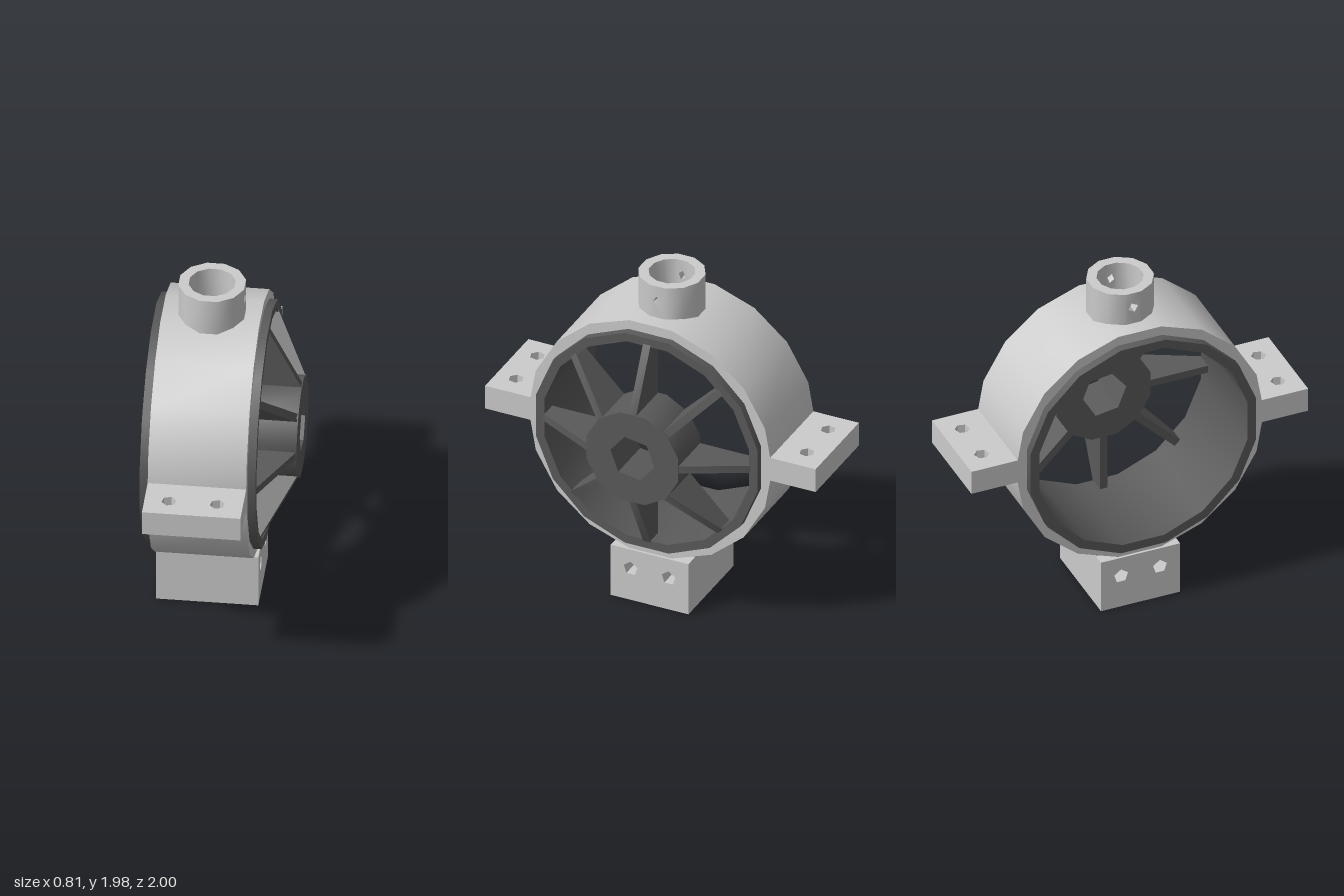
import * as THREE from 'three';
import { mergeGeometries, toCreasedNormals } from 'three/addons/utils/BufferGeometryUtils.js';

const AXIS_Y = 1.05;   // height of the ring's axis, which runs along x
const MID_X = -0.09;   // middle of the housing along x
const light = new THREE.MeshStandardMaterial({ color: 0xcccccc });
const dark = new THREE.MeshStandardMaterial({ color: 0x5a5a5a });

// Regular polygon points
function polygon(r, n, offset = 0, cx = 0, cy = 0) {
  return Array.from({ length: n }, (_, i) => {
    const a = offset + (i / n) * Math.PI * 2;
    return new THREE.Vector2(cx + r * Math.cos(a), cy + r * Math.sin(a));
  });
}

function rectangle(x0, x1, y0, y1) {
  return [[x0, y0], [x1, y0], [x1, y1], [x0, y1]].map(p => new THREE.Vector2(...p));
}

function extrude(points, holes, depth) {
  const shape = new THREE.Shape(points);
  holes.forEach(h => shape.holes.push(new THREE.Path(h)));
  return new THREE.ExtrudeGeometry(shape, { depth, bevelEnabled: false });
}

// Outline in (-z, y), swept from x0 to x1
function extrudeX(points, holes, x0, x1) {
  return extrude(points, holes, x1 - x0).rotateY(Math.PI / 2).translate(x0, 0, 0);
}

// Outline in (x, -z), swept from y0 to y1
function extrudeY(points, holes, y0, y1) {
  return extrude(points, holes, y1 - y0).rotateX(-Math.PI / 2).translate(0, y0, 0);
}

export function createModel() {
  const group = new THREE.Group();
  const add = (name, geometry, material) => {
    const mesh = new THREE.Mesh(toCreasedNormals(geometry, 0.7), material);
    mesh.name = name;
    group.add(mesh);
    return mesh;
  };

  // Outer housing ring and the dark sleeve inside it
  const step16 = Math.PI / 16;
  add('housingRing', extrudeX(
    polygon(0.738, 18, 0, 0, AXIS_Y), [polygon(0.675, 16, step16, 0, AXIS_Y)], -0.36, 0.18), light);
  add('innerSleeve', extrudeX(
    polygon(0.683, 16, step16, 0, AXIS_Y), [polygon(0.63, 16, step16, 0, AXIS_Y)], -0.41, 0.225), dark);

  // Hub with a hexagonal bore
  add('hub', extrudeX(
    polygon(0.287, 12, Math.PI / 12, 0, AXIS_Y), [polygon(0.135, 6, -0.157, 0, AXIS_Y)], 0.13, 0.405), dark);

  // Eight tapered spokes
  const spokePoints = [[0.13, 0.25], [0.4, 0.25], [0.4, 0.28], [0.222, 0.635], [0.13, 0.635]]
    .map(p => new THREE.Vector2(...p));
  for (let i = 0; i < 8; i++) {
    const spoke = extrude(spokePoints, [], 0.045).translate(0, 0, -0.0225)
      .rotateX(i * Math.PI / 4).translate(0, AXIS_Y, 0);
    add('spoke', spoke, dark);
  }

  // Side mounting tabs, each with two bolt holes
  for (const side of [-1, 1]) {
    const [z0, z1] = side > 0 ? [0.69, 1] : [-1, -0.69];
    const holes = [-0.225, 0.04].map(x => polygon(0.042, 6, 0.3, x, side * 0.88));
    add('mountingTab', extrudeY(rectangle(-0.36, 0.18, z0, z1), holes, 0.98, 1.125), light);
  }

  // Base block: cross-drilled upper part, lower slab with four screw holes
  const boltHoles = [-0.115, 0.115].map(z => polygon(0.043, 5, Math.PI / 2, z, 0.2));
  add('baseBlock', extrudeX(rectangle(-0.235, 0.235, 0.1, 0.32), boltHoles, -0.37, 0.19), light);
  const screwHoles = polygon(0.12, 4, 0, MID_X, 0).map(p => polygon(0.014, 6, 0, p.x, p.y));
  add('baseSlab', extrudeY(rectangle(-0.37, 0.19, -0.235, 0.235), screwHoles, 0, 0.1), light);
  add('baseSaddle', extrudeY(rectangle(-0.3, 0.11, -0.235, 0.235), [], 0.3, 0.355), light);

  // Top socket: a ring of wall panels, the two facing +x and -x pierced for a pin
  const sides = 12, outer = 0.18, inner = 0.125;
  const halfWidth = outer * Math.tan(Math.PI / sides);
  const panels = [];
  for (let i = 0; i < sides; i++) {
    const pinHole = i % (sides / 2) === 0 ? [polygon(0.03, 4, 0.3, 0, 1.88)] : [];
    const panel = extrude(rectangle(-halfWidth, halfWidth, 1.735, 1.975), pinHole, outer - inner)
      .translate(0, 0, inner);
    const pos = panel.attributes.position;
    for (let v = 0; v < pos.count; v++) pos.setX(v, pos.getX(v) * pos.getZ(v) / outer);
    panels.push(panel.rotateY(Math.PI / 2 + i * Math.PI * 2 / sides));
  }
  add('topSocket', mergeGeometries(panels).translate(MID_X, 0, 0), light);
  add('socketFloor', extrudeY(polygon(0.128, 12, Math.PI / 12, MID_X, 0), [], 1.74, 1.785), dark);

  return group;
}
